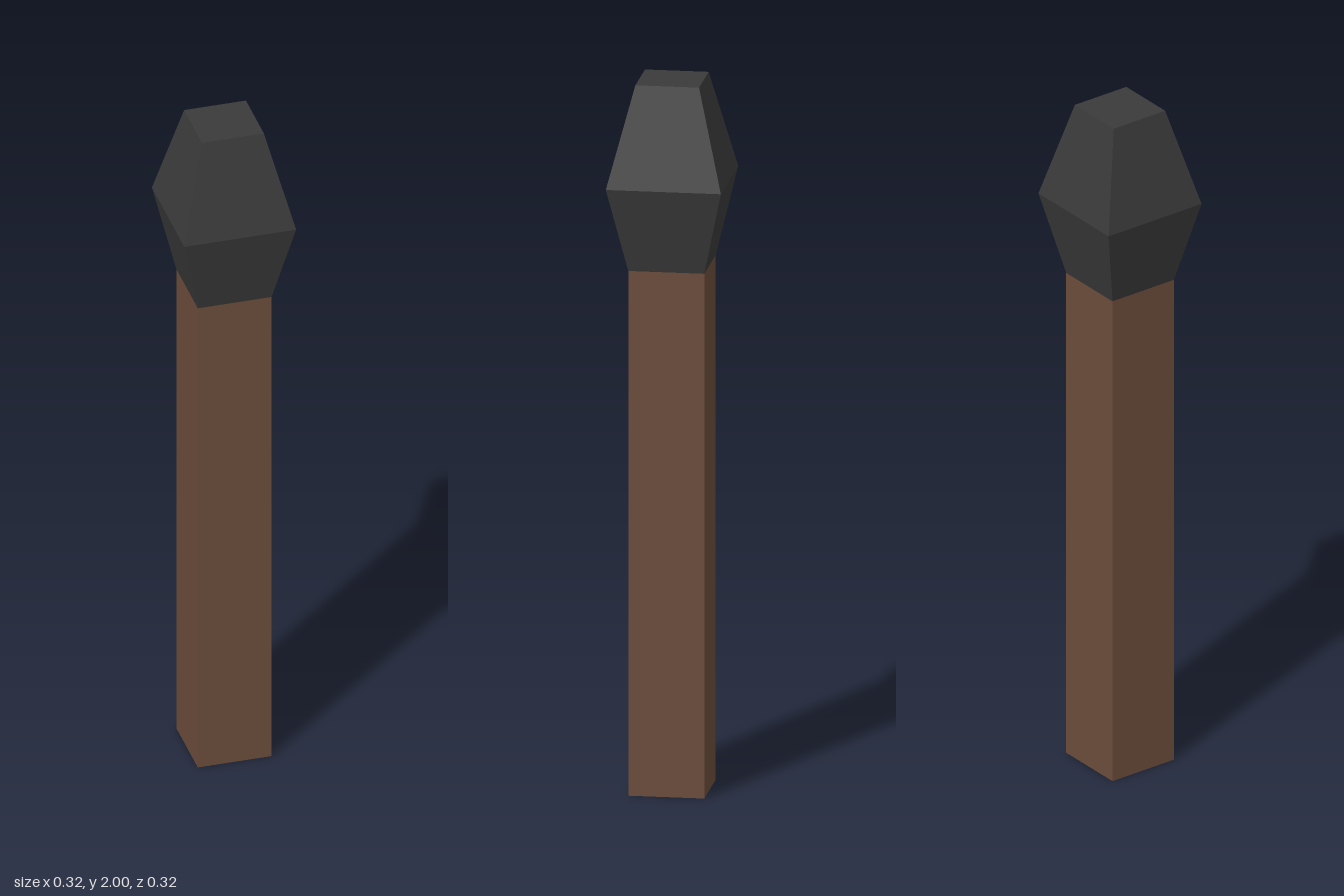
import * as THREE from 'three';

// Square-section solid from [half width, height] pairs, bottom to top
function squareProfile(name, rings, color) {
  const points = rings.map(([half, y]) => new THREE.Vector2(half * Math.SQRT2, y));
  points.unshift(new THREE.Vector2(0, rings[0][1]));
  points.push(new THREE.Vector2(0, rings[rings.length - 1][1]));
  const geometry = new THREE.LatheGeometry(points, 4, Math.PI / 4);
  const mesh = new THREE.Mesh(geometry, new THREE.MeshStandardMaterial({ color, flatShading: true }));
  mesh.name = name;
  return mesh;
}

export function createModel() {
  const group = new THREE.Group();
  group.name = 'matchstick';

  // Straight wooden stick
  group.add(squareProfile('stick', [[0.105, 0], [0.105, 1.48]], 0x6b4c3a));

  // Faceted head, widest below its middle
  group.add(squareProfile('head', [[0.105, 1.48], [0.159, 1.72], [0.088, 2]], 0x3a3a3a));

  return group;
}
